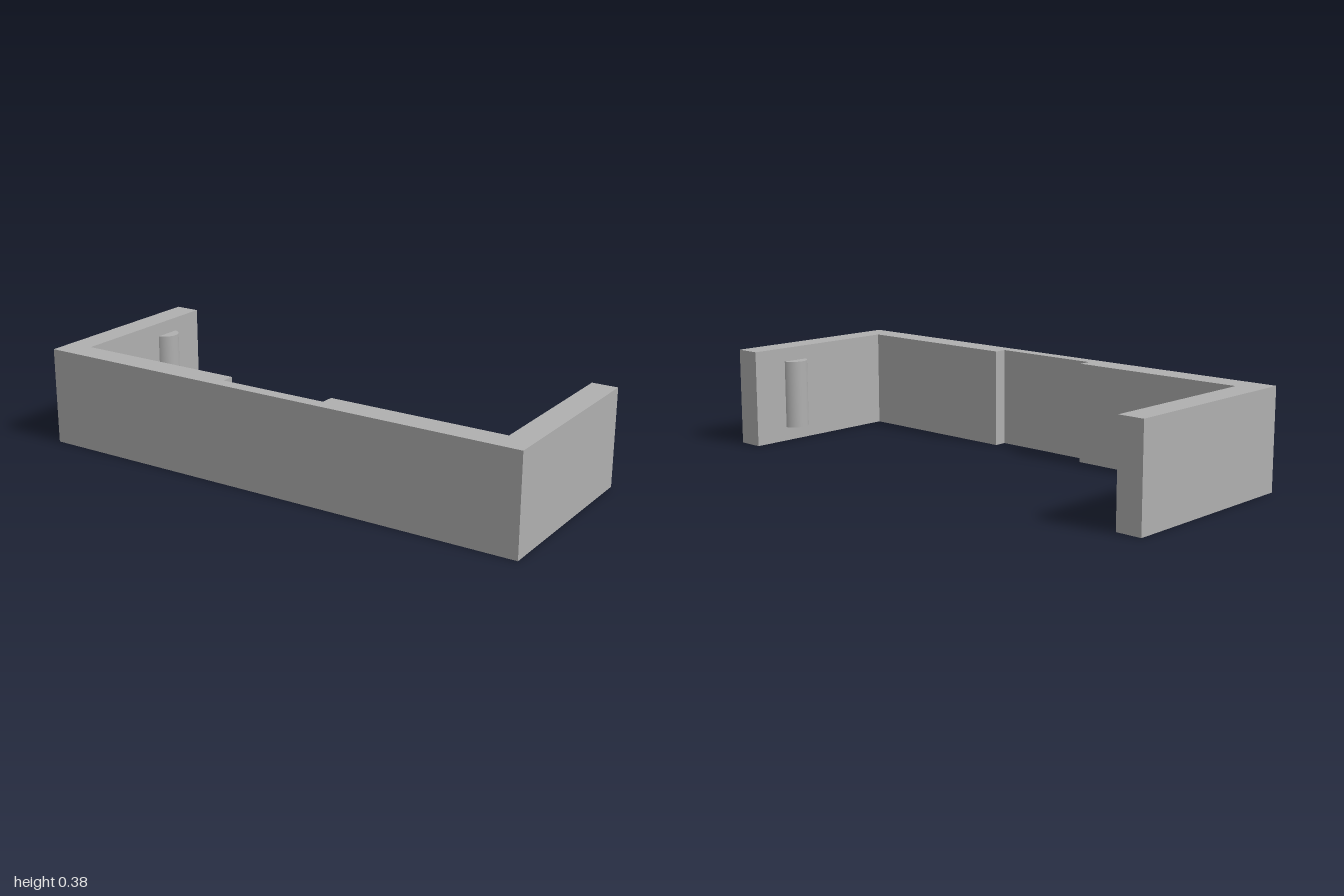
import * as THREE from 'three';

const HEIGHT = 0.38;

export function createModel() {
  const model = new THREE.Group();
  model.name = 'clipBracket';
  const grey = new THREE.MeshStandardMaterial({ color: 0xb0b0b0 });
  grey.name = 'grey';

  // U-shaped body with a shallow recess inside the front wall; outline as [x, z]
  const half = [[1, 0.38], [1, -0.38], [0.9, -0.38], [0.9, 0.28], [0.215, 0.28], [0.215, 0.33]];
  const mirrored = half.map(([x, z]) => [-x, z]).reverse();
  const outline = [...half, ...mirrored].map(([x, z]) => new THREE.Vector2(x, -z));
  const bodyGeometry = new THREE.ExtrudeGeometry(new THREE.Shape(outline), {
    depth: HEIGHT,
    bevelEnabled: false,
  });
  bodyGeometry.rotateX(-Math.PI / 2);
  const body = new THREE.Mesh(bodyGeometry, grey);
  body.name = 'body';
  model.add(body);

  // Rounded snap ridges facing inward on both arms
  for (const side of [1, -1]) {
    const geometry = new THREE.CylinderGeometry(
      0.055, 0.055, 0.27, 24, 1, false, side > 0 ? Math.PI : 0, Math.PI);
    const ridge = new THREE.Mesh(geometry, grey);
    ridge.name = side > 0 ? 'leftSnapRidge' : 'rightSnapRidge';
    ridge.position.set(side * 0.91, HEIGHT / 2, -0.18);
    model.add(ridge);
  }

  return model;
}
